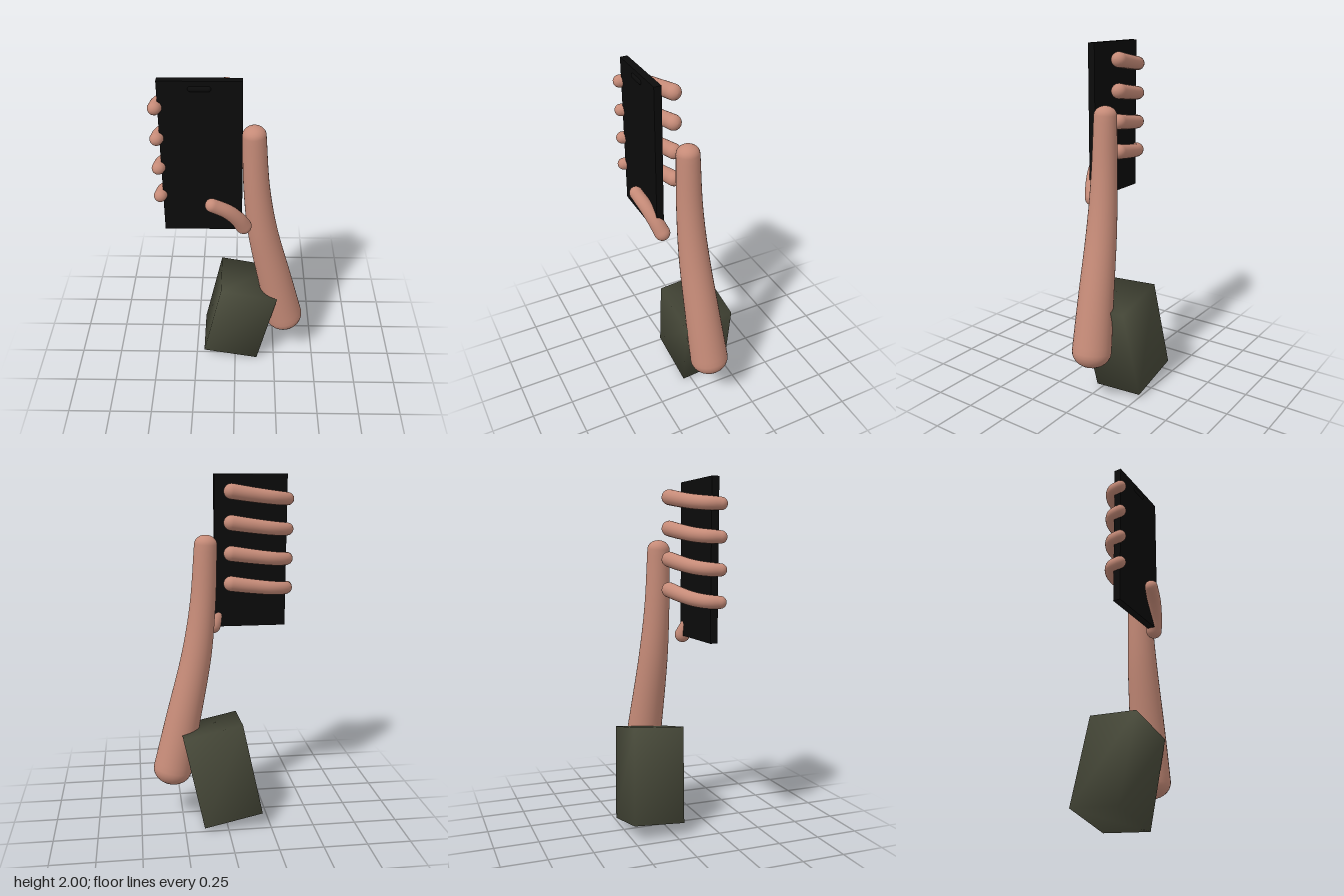
import * as THREE from 'three';
import { mergeVertices } from 'three/addons/utils/BufferGeometryUtils.js';

// Round limb: a circle of varying radius swept along a curve, with domed ends.
// Each point is [x, y, z, radius]; dome is the dome height relative to its radius.
function limbGeometry(points, dome = 1, steps = 28, sides = 24) {
  const curve = new THREE.CatmullRomCurve3(points.map(p => new THREE.Vector3(p[0], p[1], p[2])));
  const radii = new THREE.CatmullRomCurve3(points.map((p, i) => new THREE.Vector3(p[3], i, 0)));
  const frames = curve.computeFrenetFrames(steps, false);
  const rings = [];
  const capRows = 7;
  for (let k = 0; k < capRows; k++) {
    const a = (k / capRows) * Math.PI / 2;
    rings.push({ i: 0, push: -Math.cos(a) * dome, scale: Math.sin(a) });
  }
  for (let i = 0; i <= steps; i++) rings.push({ i, push: 0, scale: 1 });
  for (let k = capRows - 1; k >= 0; k--) {
    const a = (k / capRows) * Math.PI / 2;
    rings.push({ i: steps, push: Math.cos(a) * dome, scale: Math.sin(a) });
  }

  const pos = [], index = [];
  rings.forEach(({ i, push, scale }, row) => {
    const t = curve.getUtoTmapping(i / steps);
    const r = radii.getPoint(t).x;
    const c = curve.getPoint(t).addScaledVector(frames.tangents[i], push * r);
    for (let s = 0; s < sides; s++) {
      const v = (s / sides) * Math.PI * 2;
      const p = c.clone()
        .addScaledVector(frames.normals[i], -Math.cos(v) * r * scale)
        .addScaledVector(frames.binormals[i], Math.sin(v) * r * scale);
      pos.push(p.x, p.y, p.z);
      if (row > 0) {
        const n = (s + 1) % sides;
        const a = (row - 1) * sides + s, b = row * sides + s;
        const d = (row - 1) * sides + n, e = row * sides + n;
        index.push(a, b, d, b, e, d);
      }
    }
  });
  const g = new THREE.BufferGeometry();
  g.setAttribute('position', new THREE.Float32BufferAttribute(pos, 3));
  g.setIndex(index);
  g.computeVertexNormals();
  return g;
}

export function createModel() {
  const skin = new THREE.MeshStandardMaterial({ name: 'skin', color: 0xc68b78 });
  const olive = new THREE.MeshStandardMaterial({ name: 'dark olive', color: 0x484a3a });
  const black = new THREE.MeshStandardMaterial({ name: 'black', color: 0x0b0b0b });

  const model = new THREE.Group();
  model.name = 'handHoldingPhone';
  const add = (name, geometry, material, parent = model) => {
    const mesh = new THREE.Mesh(geometry, material);
    mesh.name = name;
    parent.add(mesh);
    return mesh;
  };

  // Forearm, from elbow up to wrist
  add('forearm', limbGeometry([
    [0.308, 0.315, -0.04, 0.113],
    [0.245, 0.60, -0.025, 0.102],
    [0.157, 1.00, -0.007, 0.086],
    [0.118, 1.30, 0.002, 0.073],
    [0.100, 1.625, 0.005, 0.064],
  ], 0.82, 36, 28), skin);

  // Four fingers wrapping behind the phone and round its edge
  const fingers = new THREE.Group();
  fingers.name = 'fingers';
  model.add(fingers);
  const fingerGeometry = limbGeometry([
    [-0.045, 0.05, 0.016, 0.043],
    [-0.17, 0.03, 0.034, 0.041],
    [-0.30, 0.012, 0.062, 0.039],
    [-0.375, 0.003, 0.112, 0.037],
    [-0.394, 0, 0.168, 0.034],
  ]);
  for (let i = 0; i < 4; i++) {
    add('finger' + (i + 1), fingerGeometry, skin, fingers).position.y = 1.86 - i * 0.17;
  }

  // Thumb across the front of the phone
  add('thumb', limbGeometry([
    [0.047, 1.132, 0.135, 0.045],
    [0.012, 1.20, 0.160, 0.042],
    [-0.045, 1.267, 0.188, 0.039],
    [-0.120, 1.32, 0.212, 0.037],
  ]), skin);

  // Phone slab and the small bar near its top
  add('phone', new THREE.BoxGeometry(0.418, 0.87, 0.042), black).position.set(-0.17, 1.565, 0.141);
  const bar = add('phoneBar', new THREE.CapsuleGeometry(0.015, 0.085, 6, 12), black);
  bar.rotation.z = Math.PI / 2;
  bar.scale.z = 0.9;
  bar.position.set(-0.171, 1.96, 0.159);

  // Tilted sleeve block with softened shading
  let block = new THREE.BoxGeometry(0.345, 0.55, 0.3);
  block.deleteAttribute('normal');
  block.deleteAttribute('uv');
  block = mergeVertices(block);
  block.computeVertexNormals();
  const sleeve = add('sleeveBlock', block, olive);
  sleeve.position.set(0.0275, 0.317, -0.082);
  sleeve.rotation.set(0.073, 0, -0.209);

  return model;
}
